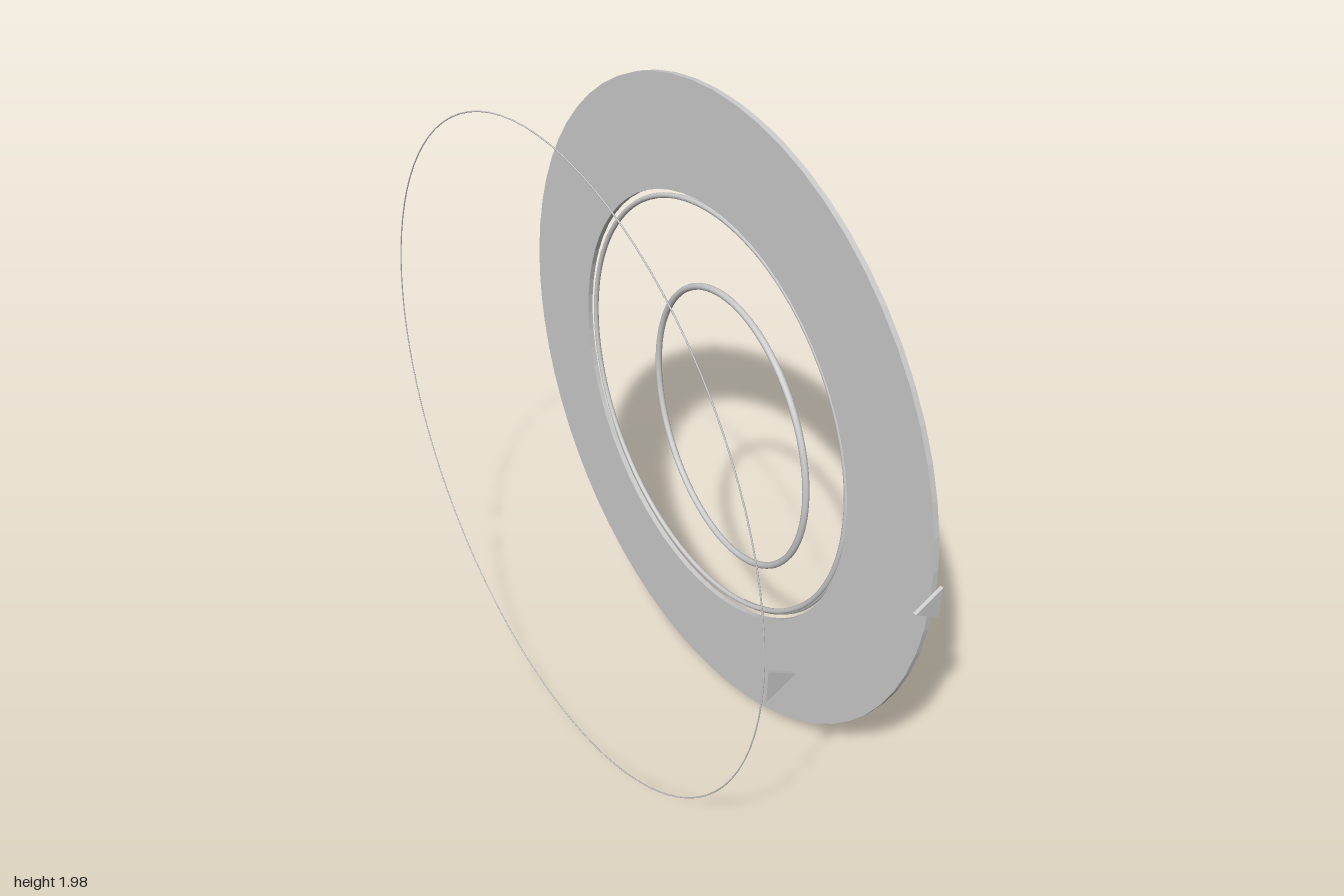
import * as THREE from 'three';

const CY = 1, CZ = -0.005; // shared axis of the rings, running along x

export function createModel() {
  const model = new THREE.Group();
  const mat = new THREE.MeshStandardMaterial({ color: 0xcccccc, side: THREE.DoubleSide });

  const add = (name, geo, x, y, z, parent = model) => {
    const mesh = new THREE.Mesh(geo, mat);
    mesh.name = name;
    mesh.position.set(x, y, z);
    parent.add(mesh);
    return mesh;
  };

  // Ring of round wire whose axis points along x
  const ring = (name, radius, tube, x, z = CZ, sides = 10, arc = Math.PI * 2) => {
    const mesh = add(name, new THREE.TorusGeometry(radius, tube, sides, 96, arc), x, CY, z);
    mesh.rotation.y = Math.PI / 2;
    return mesh;
  };

  // Flat dial with a round opening
  const dialShape = new THREE.Shape().absarc(0, 0, 0.992, 0, Math.PI * 2);
  dialShape.holes.push(new THREE.Path().absarc(0, 0, 0.664, 0, Math.PI * 2, true));
  const dialGeo = new THREE.ExtrudeGeometry(dialShape, { depth: 0.016, bevelEnabled: false, curveSegments: 32 });
  dialGeo.translate(0, 0, -0.008);
  add('dialRing', dialGeo, 0.235, CY, CZ).rotation.y = Math.PI / 2;

  // Twelve radial hour ticks floating over the dial face
  const ticks = new THREE.Group();
  ticks.name = 'hourTicks';
  ticks.position.set(0.262, CY, CZ);
  model.add(ticks);
  const tickGeo = new THREE.BoxGeometry(0.003, 0.145, 0.004);
  for (let i = 0; i < 12; i++) {
    const a = (i + 0.5) * Math.PI / 6;
    add('hourTick', tickGeo, 0, Math.cos(a) * 0.871, Math.sin(a) * 0.871, ticks).rotation.x = a;
  }

  // Inner rim ring and the raised progress arc along its front side
  ring('innerRing', 0.642, 0.008, 0.244);
  const arc = ring('progressArc', 0.647, 0.009, 0.252, CZ, 10, THREE.MathUtils.degToRad(115));
  arc.rotation.z = THREE.MathUtils.degToRad(135);

  // Small off-centre ring, tilted five degrees
  ring('tiltedRing', 0.42, 0.01, 0.235, 0.105).rotation.y = THREE.MathUtils.degToRad(85);

  // Separate hairline ring
  ring('hairlineRing', 0.99, 0.002, -0.283, CZ, 6);

  // Pair of triangular pointers facing each other
  const pointer = (name, baseX, tipX) => {
    const s = new THREE.Shape([
      new THREE.Vector2(baseX, -0.05), new THREE.Vector2(tipX, 0), new THREE.Vector2(baseX, 0.05),
    ]);
    add(name, new THREE.ExtrudeGeometry(s, { depth: 0.01, bevelEnabled: false }), 0, CY, 0.99);
  };
  pointer('rightPointer', -0.283, -0.2);
  pointer('leftPointer', 0.252, 0.17);

  return model;
}
